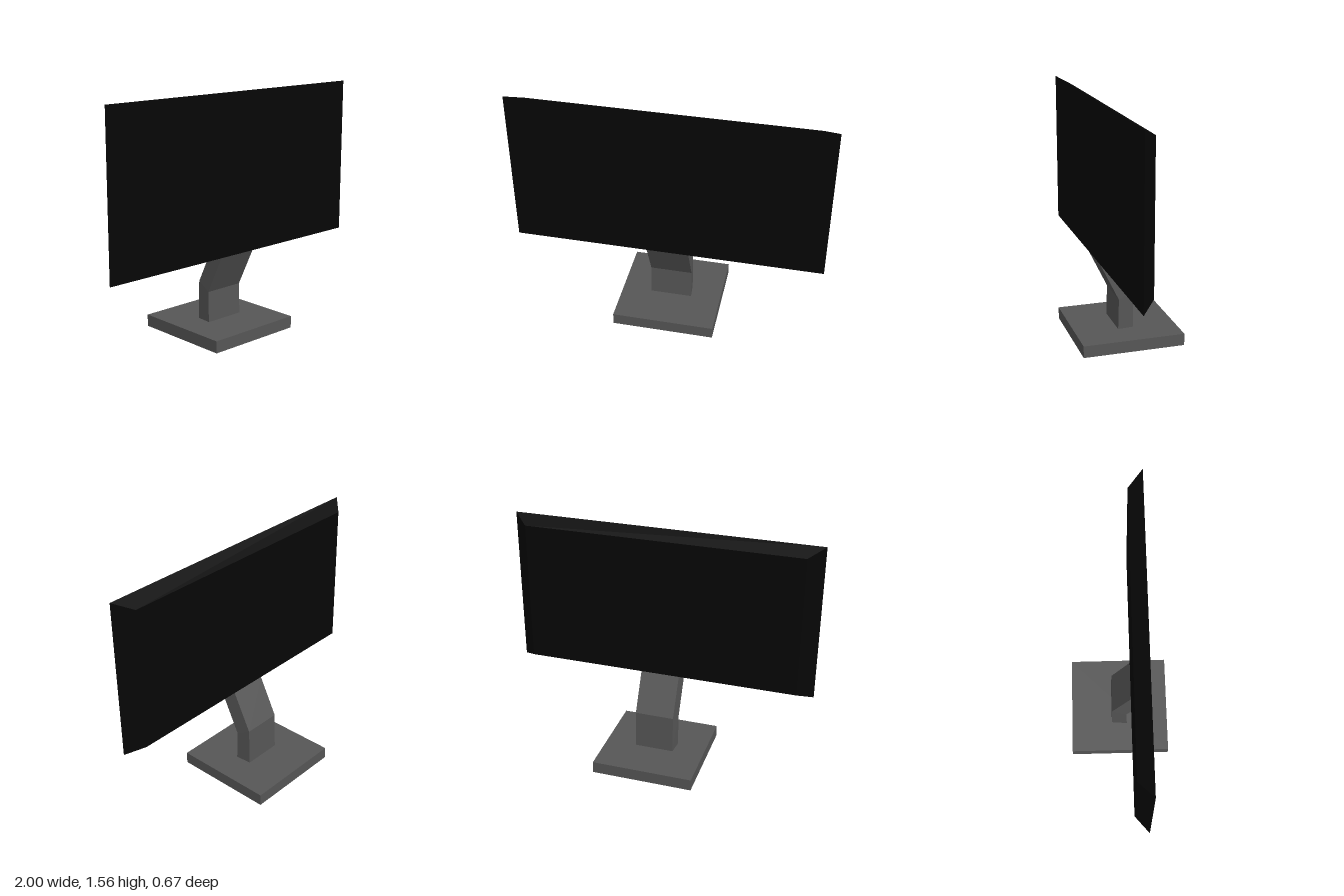
import * as THREE from 'three';

const standMaterial = new THREE.MeshStandardMaterial({ color: 0x565656, flatShading: true });
const screenMaterial = new THREE.MeshStandardMaterial({ color: 0x060606, flatShading: true });

// Joins four-cornered rings (counter-clockwise seen from the end) into a closed flat-faced solid
function loft(rings) {
  const points = [];
  const quad = (a, b, c, d) => points.push(...a, ...b, ...c, ...a, ...c, ...d);
  for (let r = 0; r < rings.length - 1; r++) {
    for (let i = 0; i < 4; i++) {
      const j = (i + 1) % 4;
      quad(rings[r][i], rings[r][j], rings[r + 1][j], rings[r + 1][i]);
    }
  }
  quad(...[...rings[0]].reverse());
  quad(...rings[rings.length - 1]);
  const geometry = new THREE.BufferGeometry();
  geometry.setAttribute('position', new THREE.Float32BufferAttribute(points, 3));
  geometry.computeVertexNormals();
  return geometry;
}

export function createModel() {
  const model = new THREE.Group();
  const add = (name, geometry, material) => {
    const mesh = new THREE.Mesh(geometry, material);
    mesh.name = name;
    model.add(mesh);
    return mesh;
  };

  // Square foot plate
  add('base', new THREE.BoxGeometry(0.666, 0.078, 0.666), standMaterial).position.y = 0.039;

  // Bent neck, slightly narrower at the back: [front y, front z, back y, back z]
  const neckRing = ([fy, fz, by, bz]) => [
    [-0.137, fy, fz], [0.137, fy, fz], [0.128, by, bz], [-0.128, by, bz],
  ];
  const neckSections = [
    [0.078, 0.05, 0.078, -0.055],
    [0.28, 0.045, 0.33, -0.051],
    [0.53, 0.167, 0.58, 0.073],
  ];
  add('neck', loft(neckSections.map(neckRing)), standMaterial);

  // Screen: a flat front panel with sides narrowing to the back panel
  const screenRing = (halfWidth, bottom, top, z) => [
    [-halfWidth, bottom, z], [halfWidth, bottom, z], [halfWidth, top, z], [-halfWidth, top, z],
  ];
  const back = screenRing(0.9, 0.58, 1.51, 0.073);
  const front = screenRing(1, 0.53, 1.56, 0.167);
  add('screen', loft([back, front]), screenMaterial);

  return model;
}
